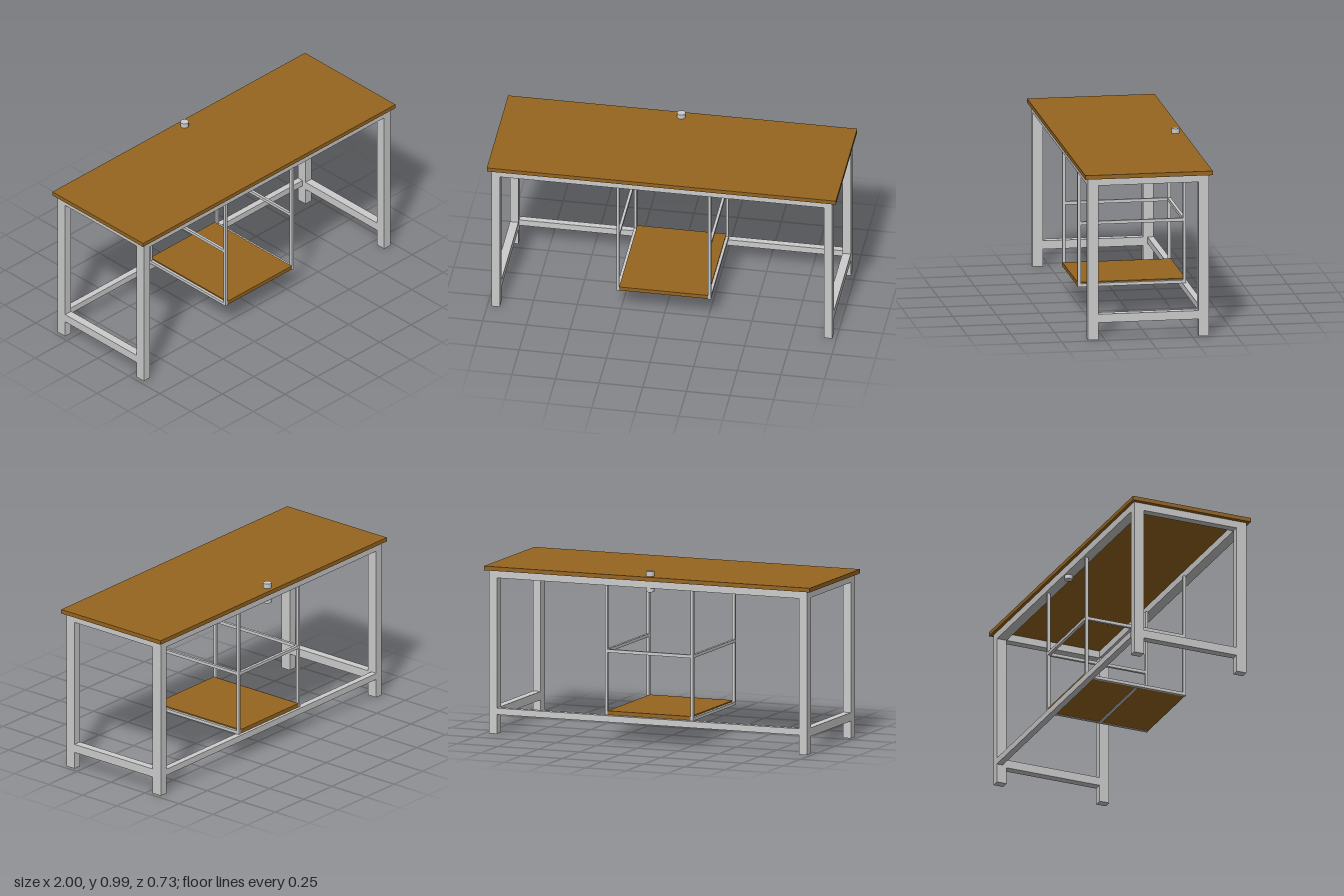
import * as THREE from 'three';

export function createModel() {
  const model = new THREE.Group();
  model.name = 'workbench';
  const wood = new THREE.MeshStandardMaterial({ name: 'brown wood', color: 0x966520 });
  const steel = new THREE.MeshStandardMaterial({ name: 'light grey steel', color: 0xcccccc });

  // Box given by its extents along each axis
  const bar = (name, material, [x0, x1], [y0, y1], [z0, z1]) => {
    const mesh = new THREE.Mesh(new THREE.BoxGeometry(x1 - x0, y1 - y0, z1 - z0), material);
    mesh.position.set((x0 + x1) / 2, (y0 + y1) / 2, (z0 + z1) / 2);
    mesh.name = name;
    model.add(mesh);
  };
  // Extents mirrored to the negative side when s is -1
  const side = (s, a, b) => (s > 0 ? [a, b] : [-b, -a]);

  // Table top
  bar('tableTop', wood, [-1, 1], [0.935, 0.959], [-0.365, 0.365]);

  // Legs and top frame
  for (const s of [1, -1]) {
    const legX = side(s, 0.928, 0.976);
    for (const t of [1, -1]) bar('leg', steel, legX, [0, 0.935], side(t, 0.287, 0.347));
    bar('topSideRail', steel, legX, [0.893, 0.935], [-0.287, 0.287]);
    bar('lowerSideRail', steel, legX, [0.099, 0.148], [-0.287, 0.287]);
    bar('topLongRail', steel, [-0.928, 0.928], [0.893, 0.935], side(s, 0.287, 0.347));
  }
  bar('lowerBackRail', steel, [-0.928, 0.928], [0.111, 0.148], [-0.349, -0.312]);

  // Hanging shelf frame
  for (const s of [1, -1]) {
    const x = side(s, 0.255, 0.271);
    bar('frontUpright', steel, x, [0.148, 0.893], [0.27, 0.288]);
    bar('backUpright', steel, x, [0.148, 0.893], [-0.334, -0.316]);
    bar('shelfSideRail', steel, x, [0.148, 0.166], [-0.316, 0.27]);
    bar('middleSideRail', steel, x, [0.507, 0.525], [-0.316, 0.27]);
  }
  bar('middleBackRail', steel, [-0.255, 0.255], [0.507, 0.525], [-0.334, -0.316]);
  bar('shelfCrossBar', steel, [-0.255, 0.255], [0.146, 0.164], [-0.018, 0]);
  bar('shelf', wood, [-0.255, 0.255], [0.15, 0.173], [-0.334, 0.287]);

  // Cable grommet passing through the top and back rail
  const grommet = new THREE.Mesh(new THREE.CylinderGeometry(0.024, 0.024, 0.118, 20), steel);
  grommet.position.set(0, 0.928, -0.318);
  grommet.name = 'cableGrommet';
  model.add(grommet);

  return model;
}
